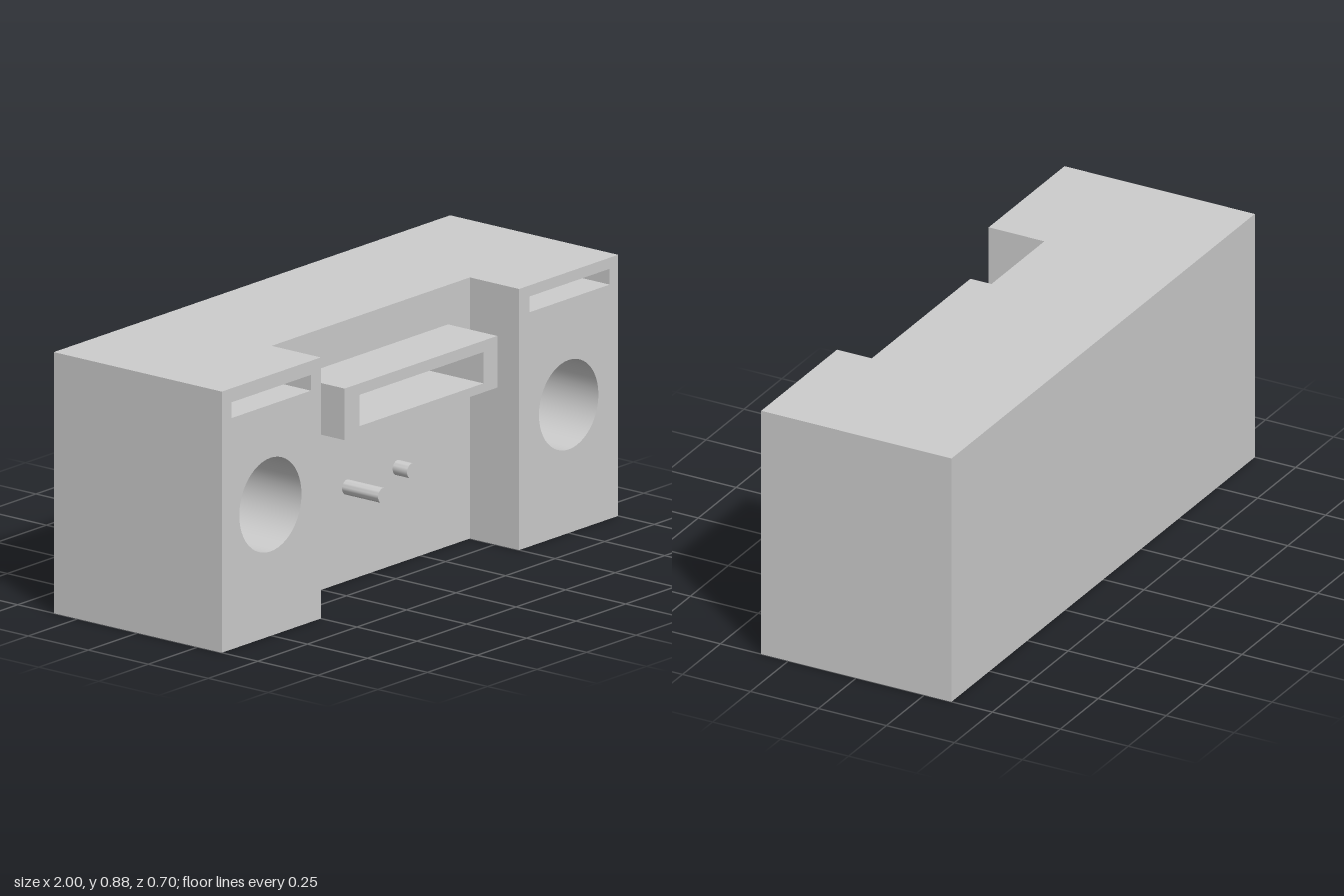
import * as THREE from 'three';
import { toCreasedNormals } from 'three/addons/utils/BufferGeometryUtils.js';

const H = 0.875, Z = 0.35, RECESS = 0.145, INNER = 0.5;
const material = new THREE.MeshStandardMaterial({ color: 0xcccccc, side: THREE.DoubleSide });

// Outlines as counter-clockwise point lists
const rect = (x0, x1, y0, y1) =>
  [[x0, y0], [x1, y0], [x1, y1], [x0, y1]].map(([x, y]) => new THREE.Vector2(x, y));
const circle = (x, y, r, n) => Array.from({ length: n }, (_, i) => {
  const a = (i / n) * Math.PI * 2;
  return new THREE.Vector2(x + r * Math.cos(a), y + r * Math.sin(a));
});

// Flat sheet with holes, facing +z
function sheet(outline, holes = []) {
  const shape = new THREE.Shape(outline);
  shape.holes = holes.map((h) => new THREE.Path(h));
  return new THREE.ShapeGeometry(shape);
}

// Open wall following an outline from z0 (back) to z1 (front)
function sleeve(outline, z0, z1) {
  const pos = [];
  outline.forEach((a, i) => {
    const b = outline[(i + 1) % outline.length];
    pos.push(a.x, a.y, z0, b.x, b.y, z0, b.x, b.y, z1, a.x, a.y, z0, b.x, b.y, z1, a.x, a.y, z1);
  });
  const g = new THREE.BufferGeometry();
  g.setAttribute('position', new THREE.Float32BufferAttribute(pos, 3));
  return toCreasedNormals(g, 0.6);
}

export function createModel() {
  const model = new THREE.Group();
  model.name = 'stereo';

  const add = (name, geometry, parent = model) => {
    const mesh = new THREE.Mesh(geometry, material);
    mesh.name = name;
    parent.add(mesh);
    return mesh;
  };
  // Recess sunk from the front plane, closed at its far end
  const pocket = (name, outline, depth) => {
    const g = new THREE.Group();
    g.name = name;
    add(name + 'Wall', sleeve([...outline].reverse(), Z - depth, Z), g);
    add(name + 'End', sheet(outline).translate(0, 0, Z - depth), g);
    model.add(g);
  };

  // Speaker fronts with round hole and slot
  const speakers = [
    { side: 'right', s: -1, hole: circle(-0.755, 0.44, 0.157, 48), slot: rect(-0.95, -0.55, 0.775, 0.828) },
    { side: 'left', s: 1, hole: circle(0.75, 0.43, 0.15, 48), slot: rect(0.553, 0.957, 0.785, 0.838) },
  ];
  for (const { side, s, hole, slot } of speakers) {
    const x0 = Math.min(s * INNER, s), x1 = Math.max(s * INNER, s);
    add(side + 'SpeakerFront', sheet(rect(x0, x1, 0, H), [hole, slot]).translate(0, 0, Z));
    pocket(side + 'SpeakerHole', hole, 0.5);
    pocket(side + 'SpeakerSlot', slot, 0.2);
    // Outer side, inner cheek and short underside
    add(side + 'Side', new THREE.PlaneGeometry(2 * Z, H).rotateY(s * Math.PI / 2).translate(s, H / 2, 0));
    add(side + 'Cheek', new THREE.PlaneGeometry(Z - RECESS, H).rotateY(-s * Math.PI / 2)
      .translate(s * INNER, H / 2, (Z + RECESS) / 2));
    add(side + 'Underside', new THREE.PlaneGeometry(INNER, Z - RECESS).rotateX(Math.PI / 2)
      .translate(s * 0.75, 0, (Z + RECESS) / 2));
  }

  // U-shaped top (drawn with y = -z) and plain back; the underside behind stays open
  const plan = [[-1, -Z], [-INNER, -Z], [-INNER, -RECESS], [INNER, -RECESS], [INNER, -Z], [1, -Z], [1, Z], [-1, Z]]
    .map(([x, y]) => new THREE.Vector2(x, y));
  add('top', sheet(plan).rotateX(-Math.PI / 2).translate(0, H, 0));
  add('back', new THREE.PlaneGeometry(2, H).rotateY(Math.PI).translate(0, H / 2, -Z));

  // Recessed centre panel, opened behind the deck and the knobs
  const deck = rect(-0.38, 0.39, 0.57, 0.743);
  const deckSlot = rect(-0.305, 0.32, 0.6, 0.705);
  const knobs = [
    { side: 'right', outline: circle(-0.12, 0.315, 0.025, 24), length: 0.15 },
    { side: 'left', outline: circle(0.135, 0.322, 0.025, 24), length: 0.06 },
  ];
  add('centrePanel', sheet(rect(-INNER, INNER, 0, H), [deck, ...knobs.map((k) => k.outline)]).translate(0, 0, RECESS));

  // Projecting deck with its long slot
  add('deckWall', sleeve(deck, RECESS, Z));
  add('deckFront', sheet(deck, [deckSlot]).translate(0, 0, Z));
  pocket('deckSlot', deckSlot, 0.25);

  // Hollow knobs
  for (const { side, outline, length } of knobs) {
    add(side + 'KnobWall', sleeve(outline, RECESS, RECESS + length));
    add(side + 'KnobFace', sheet(outline).translate(0, 0, RECESS + length));
  }
  return model;
}
